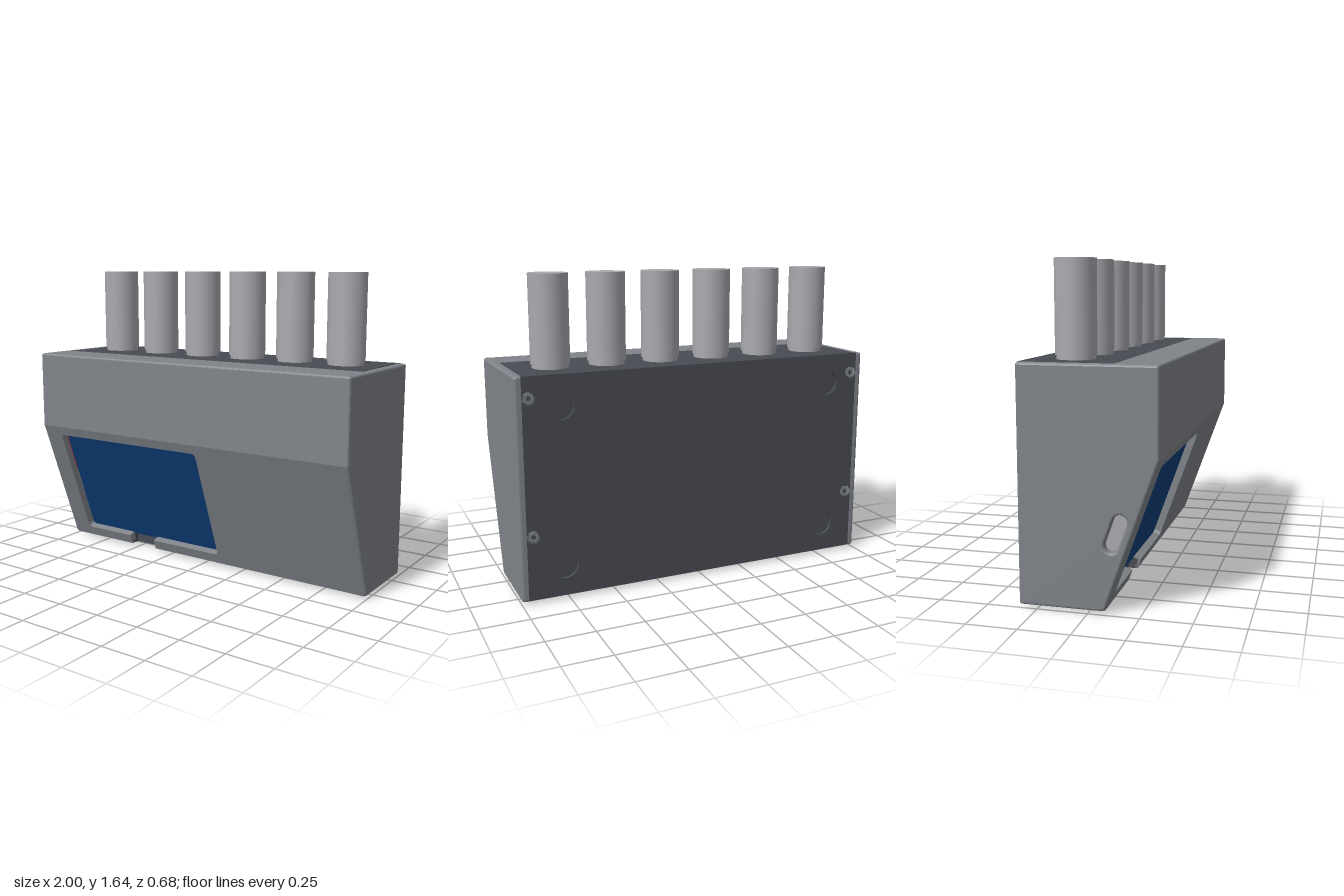
import * as THREE from 'three';

const mat = (name, color) => {
  const m = new THREE.MeshStandardMaterial({ color });
  m.name = name;
  return m;
};

export function createModel() {
  const model = new THREE.Group();
  model.name = 'connectorBox';
  const grey = mat('shellGrey', 0x80848a);
  const dark = mat('coverDark', 0x484b53);
  const metal = mat('plugSilver', 0xaaa9af);
  const blue = mat('screenBlue', 0x0d3f7a);
  const red = mat('signalRed', 0xc02820);

  const add = (name, geo, material, x = 0, y = 0, z = 0, parent = model) => {
    const m = new THREE.Mesh(geo, material);
    m.name = name;
    m.position.set(x, y, z);
    parent.add(m);
    return m;
  };
  const extrude = (shape, depth, opts = {}) =>
    new THREE.ExtrudeGeometry(shape, { depth, bevelEnabled: false, curveSegments: 10, ...opts });
  // Shape drawn in (z, y), swept along x and centred
  const sweepX = (shape, length, opts) =>
    extrude(shape, length, opts).translate(0, 0, -length / 2).rotateY(-Math.PI / 2);
  const box = (w, h, d) => new THREE.BoxGeometry(w, h, d);
  const roundHole = (x, y, r) => new THREE.Path().absarc(x, y, r, 0, Math.PI * 2, true);

  const bottom = 0.015, top = 1.17, front = 0.34, back = -0.34;
  const kneeY = 0.74, footZ = 0.08;
  const tilt = Math.atan2(front - footZ, kneeY - bottom);
  const slope = Math.hypot(front - footZ, kneeY - bottom);

  // End walls, with a port slot in the right one
  const endWall = (withPort) => {
    const r = 0.015;
    const s = new THREE.Shape();
    s.moveTo(back + r, bottom);
    s.lineTo(footZ - r, bottom);
    s.quadraticCurveTo(footZ, bottom, footZ + r * Math.sin(tilt), bottom + r * Math.cos(tilt));
    s.lineTo(front, kneeY);
    s.lineTo(front, top - r);
    s.quadraticCurveTo(front, top, front - r, top);
    s.lineTo(back + r, top);
    s.quadraticCurveTo(back, top, back, top - r);
    s.lineTo(back, bottom + r);
    s.quadraticCurveTo(back, bottom, back + r, bottom);
    if (withPort) {
      const cz = 0.135, cy = 0.39, half = 0.06, a = Math.PI / 2 - tilt;
      const dz = half * Math.cos(a), dy = half * Math.sin(a);
      const slot = new THREE.Path();
      slot.absarc(cz + dz, cy + dy, 0.034, a - Math.PI / 2, a + Math.PI / 2, false);
      slot.absarc(cz - dz, cy - dy, 0.034, a + Math.PI / 2, a + Math.PI * 1.5, false);
      slot.closePath();
      s.holes.push(slot);
    }
    return sweepX(s, 0.02, {
      bevelEnabled: true, bevelThickness: 0.015, bevelSize: 0.012, bevelOffset: -0.012, bevelSegments: 3,
    });
  };
  add('leftEndWall', endWall(false), grey, 0.975);
  add('rightEndWall', endWall(true), grey, -0.975);
  add('portSocket', box(0.06, 0.23, 0.11), metal, -0.925, 0.39, 0.125).rotation.x = tilt;

  // Upper front of the shell, wrapping onto the top
  const brow = new THREE.Shape();
  brow.moveTo(0.125, top);
  brow.lineTo(0.125, top - 0.04);
  brow.lineTo(front - 0.04, top - 0.04);
  brow.lineTo(front - 0.04, kneeY);
  brow.lineTo(front, kneeY);
  brow.lineTo(front, top - 0.015);
  brow.quadraticCurveTo(front, top, front - 0.015, top);
  brow.closePath();
  add('upperFront', sweepX(brow, 1.97), grey);

  // Sloping front with the screen window and a notch below it
  const sloping = new THREE.Group();
  sloping.name = 'slopingFront';
  sloping.position.set(0, bottom, footZ);
  sloping.rotation.x = tilt;
  model.add(sloping);
  const [x0, x1, u0, u1, r, n0, n1] = [-0.87, 0.1, 0.058, 0.717, 0.028, -0.54, -0.36];
  const panel = new THREE.Shape();
  panel.moveTo(-0.985, 0);
  panel.lineTo(n0, 0);
  panel.lineTo(n0, u0);
  panel.lineTo(x0 + r, u0);
  panel.quadraticCurveTo(x0, u0, x0, u0 + r);
  panel.lineTo(x0, u1 - r);
  panel.quadraticCurveTo(x0, u1, x0 + r, u1);
  panel.lineTo(x1 - r, u1);
  panel.quadraticCurveTo(x1, u1, x1, u1 - r);
  panel.lineTo(x1, u0 + r);
  panel.quadraticCurveTo(x1, u0, x1 - r, u0);
  panel.lineTo(n1, u0);
  panel.lineTo(n1, 0);
  panel.lineTo(0.985, 0);
  panel.lineTo(0.985, slope);
  panel.lineTo(-0.985, slope);
  panel.closePath();
  add('frontPanel', extrude(panel, 0.04), grey, 0, 0, -0.04, sloping);
  add('screen', box(0.985, 0.69, 0.012), blue, -0.3725, 0.395, -0.046, sloping);
  add('screenBoard', box(1.02, 0.29, 0.012), red, -0.38, 0.595, -0.06, sloping);

  // Dark cover: top plate, notched bottom plate and back plate
  add('topPlate', box(1.91, 0.04, 0.46), dark, 0, top - 0.02, -0.105);
  const base = new THREE.Shape();
  [[-0.96, -0.33], [0.96, -0.33], [0.96, footZ], [n1, footZ], [n1, 0.03], [n0, 0.03], [n0, footZ], [-0.96, footZ]]
    .forEach(([x, z], i) => (i ? base.lineTo(x, -z) : base.moveTo(x, -z)));
  add('bottomPlate', extrude(base, 0.055).rotateX(-Math.PI / 2), dark, 0, bottom, 0);

  const plate = new THREE.Shape();
  plate.moveTo(-0.965, bottom + 0.004);
  plate.lineTo(0.965, bottom + 0.004);
  plate.lineTo(0.965, top);
  plate.lineTo(-0.965, top);
  plate.closePath();
  const screwHead = new THREE.CylinderGeometry(0.028, 0.028, 0.014, 24).rotateX(Math.PI / 2);
  const screwSocket = new THREE.CylinderGeometry(0.013, 0.013, 0.004, 6).rotateX(Math.PI / 2);
  for (const side of [-1, 1]) {
    for (const y of [0.18, 1.01]) plate.holes.push(roundHole(side * 0.77, y, 0.07));
    for (const y of [0.355, 1.06]) {
      plate.holes.push(roundHole(side * 0.93, y, 0.034));
      add('screwHead', screwHead, grey, side * 0.93, y, back + 0.013);
      add('screwSocket', screwSocket, dark, side * 0.93, y, back + 0.005);
    }
  }
  add('backPlate', extrude(plate, 0.018), dark, 0, 0, back);
  add('backPlateFloor', box(1.93, 1.14, 0.015), dark, 0, 0.593, back + 0.0255);

  // Row of six plugs on top
  const plug = new THREE.CylinderGeometry(0.101, 0.101, 0.455, 40);
  const collar = new THREE.CylinderGeometry(0.094, 0.094, 0.04, 40);
  for (let i = 0; i < 6; i++) {
    const x = -0.76 + i * 0.303;
    add('plug', plug, metal, x, 1.4175, -0.12);
    add('plugCollar', collar, metal, x, 1.175, -0.12);
  }

  // Three buttons underneath
  const button = new THREE.CylinderGeometry(0.031, 0.031, 0.03, 24);
  for (let i = 0; i < 3; i++) add('button', button, red, -0.295 + i * 0.103, 0.015, -0.047);

  return model;
}
